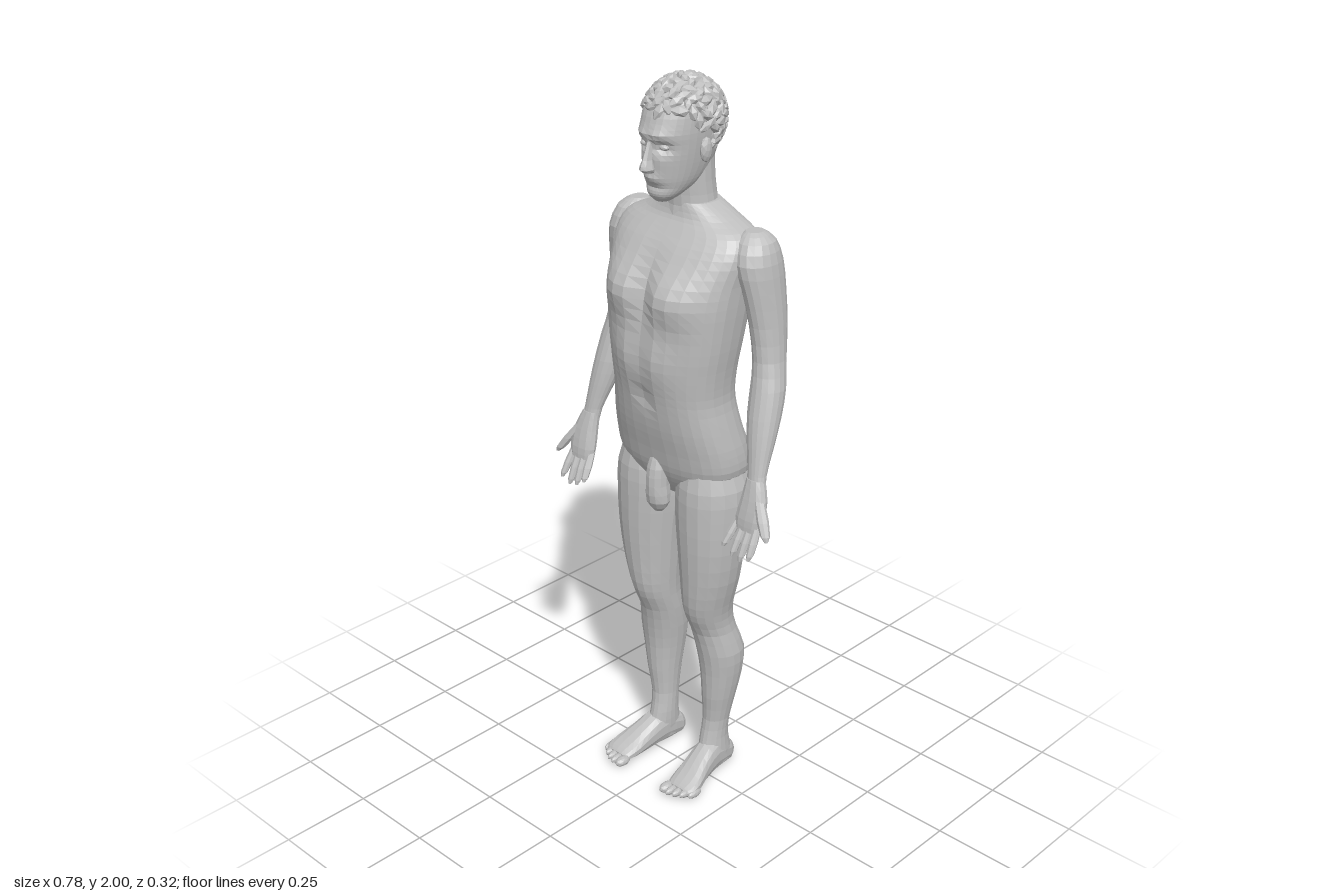
import * as THREE from 'three';
import { mergeGeometries } from 'three/addons/utils/BufferGeometryUtils.js';

const stone = new THREE.MeshStandardMaterial({ color: 0xbebebe });
stone.name = 'grey stone';

const bump = (d, w) => Math.exp(-(d * d) / (w * w));
const pow = (v, e) => Math.sign(v) * Math.abs(v) ** e;

// smooth curve through a list of rows, each row being one cross-section
function smoothRows(rows, steps) {
  const out = [];
  for (let i = 0; i < rows.length - 1; i++) {
    const p = [rows[Math.max(i - 1, 0)], rows[i], rows[i + 1], rows[Math.min(i + 2, rows.length - 1)]];
    for (let s = 0; s < steps; s++) {
      const t = s / steps;
      out.push(p[1].map((b, k) => {
        const [a, c, d] = [p[0][k], p[2][k], p[3][k]];
        return b + 0.5 * t * (c - a + t * (2 * a - 5 * b + 4 * c - d + t * (3 * (b - c) + d - a)));
      }));
    }
  }
  out.push(rows[rows.length - 1]);
  return out;
}

function faceted(geometry) {
  const g = geometry.index ? geometry.toNonIndexed() : geometry;
  g.deleteAttribute('uv');
  g.computeVertexNormals();
  return g;
}

// closed loft; a row is [height, centre x, half width, front z, back z]
function loft(rows, { sides = 18, steps = 2, square = 1, shape = null } = {}) {
  if (rows[0][0] > rows[rows.length - 1][0]) rows = [...rows].reverse();
  const rings = smoothRows(rows, steps), pos = [], idx = [];
  const add = (x, y, z) => {
    const v = new THREE.Vector3(x, y, z);
    if (shape) shape(v);
    pos.push(v.x, v.y, v.z);
  };
  for (const [y, cx, rx, zf, zb] of rings)
    for (let j = 0; j < sides; j++) {
      const a = (j / sides) * Math.PI * 2;
      add(cx + rx * pow(Math.sin(a), square), y, (zf + zb) / 2 + ((zf - zb) / 2) * pow(Math.cos(a), square));
    }
  const n = rings.length, bottom = n * sides;
  for (const r of [rings[0], rings[n - 1]]) add(r[1], r[0], (r[3] + r[4]) / 2);
  for (let j = 0; j < sides; j++) {
    const k = (j + 1) % sides, top = (n - 1) * sides;
    for (let i = 0; i < n - 1; i++) {
      const a = i * sides;
      idx.push(a + j, a + k, a + sides + j, a + k, a + sides + k, a + sides + j);
    }
    idx.push(bottom, k, j, bottom + 1, top + j, top + k);
  }
  const g = new THREE.BufferGeometry();
  g.setAttribute('position', new THREE.Float32BufferAttribute(pos, 3));
  g.setIndex(idx);
  return faceted(g);
}

function blob(x, y, z, rx, ry, rz, detail = 1) {
  return faceted(new THREE.IcosahedronGeometry(1, detail).scale(rx, ry, rz).translate(x, y, z));
}

// tapered finger between two points
function digit(s, [x0, y0, z0], [x1, y1, z1], r) {
  const rows = [[0, 0.9], [0.5, 1.05], [0.85, 0.85], [1, 0.35]].map(([t, k]) => {
    const z = z0 + (z1 - z0) * t;
    return [y0 + (y1 - y0) * t, s * (x0 + (x1 - x0) * t), r * k, z + r * k, z - r * k];
  });
  return loft(rows, { sides: 8, steps: 1 });
}

// chest, abdomen, spine and seat relief
function trunkRelief(v) {
  const ax = Math.abs(v.x), { y } = v;
  if (v.z > 0) {
    v.z += 0.028 * bump(ax - 0.085, 0.075) * bump(y - 1.465, 0.06);
    v.z -= 0.012 * bump(ax, 0.022) * bump(y - 1.46, 0.09);
    v.z += 0.012 * bump(ax - 0.05, 0.05) * bump(y - 1.29, 0.07);
    v.z -= 0.008 * bump(ax, 0.02) * bump(y - 1.19, 0.03);
  } else if (v.z < -0.04) {
    v.z -= 0.016 * bump(ax - 0.09, 0.06) * bump(y - 1.5, 0.1);
    v.z += 0.022 * bump(ax, 0.025) * bump(y - 1.36, 0.24);
    v.z -= 0.028 * bump(ax - 0.085, 0.06) * bump(y - 0.985, 0.07);
    v.z += 0.035 * bump(ax, 0.022) * bump(y - 0.96, 0.08);
  }
}

// eye sockets, brow, lips and chin relief
function faceRelief(v) {
  if (v.z < 0.03) return;
  const ax = Math.abs(v.x), { y } = v;
  v.z -= 0.016 * bump(ax - 0.033, 0.02) * bump(y - 1.835, 0.016);
  v.z += 0.008 * bump(ax - 0.025, 0.035) * bump(y - 1.865, 0.014);
  v.z += 0.008 * bump(ax, 0.025) * bump(y - 1.757, 0.013);
  v.z -= 0.006 * bump(ax, 0.04) * bump(y - 1.733, 0.009);
}

function hairGeometry() {
  let seed = 7;
  const rand = () => (seed = (seed * 16807) % 2147483647) / 2147483647;
  const curls = [], count = 230, up = new THREE.Vector3(0, 0, 1);
  for (let i = 0; i < count; i++) {
    const h = 1 - (2 * (i + 0.5)) / count, r = Math.sqrt(1 - h * h), a = i * 2.39996;
    const d = new THREE.Vector3(r * Math.sin(a), h, r * Math.cos(a));
    // hairline runs high over the brow and low at the nape
    const line = d.z > 0.35 ? 0.3 : d.z > -0.1 ? -0.1 : -0.85;
    if (d.y < line) continue;
    const size = 0.85 + 0.4 * rand();
    const curl = new THREE.IcosahedronGeometry(1, 0).scale(0.022 * size, 0.013 * size, 0.013);
    curl.rotateZ(rand() * Math.PI);
    curl.applyQuaternion(new THREE.Quaternion().setFromUnitVectors(up, d));
    curl.translate(d.x * 0.089, 1.886 + d.y * 0.101, -0.022 + d.z * 0.11);
    curls.push(faceted(curl));
  }
  curls.push(blob(0, 1.9, -0.024, 0.086, 0.088, 0.105, 2));
  return mergeGeometries(curls);
}

export function createModel() {
  const model = new THREE.Group();
  model.name = 'standing figure';
  const part = (name, ...geometries) => {
    const mesh = new THREE.Mesh(mergeGeometries(geometries), stone);
    mesh.name = name;
    model.add(mesh);
  };

  part('trunk', loft([
    [0.875, 0, 0.06, 0.02, -0.06], [0.92, 0, 0.15, 0.06, -0.11], [0.97, 0, 0.193, 0.085, -0.14],
    [1.03, 0, 0.196, 0.1, -0.135], [1.1, 0, 0.185, 0.117, -0.118], [1.18, 0, 0.172, 0.13, -0.105],
    [1.25, 0, 0.176, 0.137, -0.108], [1.33, 0, 0.188, 0.138, -0.12], [1.42, 0, 0.198, 0.132, -0.135],
    [1.5, 0, 0.205, 0.112, -0.142], [1.57, 0, 0.215, 0.075, -0.143], [1.615, 0, 0.2, 0.04, -0.138],
    [1.645, 0, 0.14, 0.018, -0.128], [1.68, 0, 0.075, 0.01, -0.112],
  ], { sides: 32, steps: 3, square: 0.82, shape: trunkRelief }));

  part('neck', loft([
    [1.61, 0, 0.085, 0.025, -0.12], [1.67, 0, 0.07, 0.014, -0.115],
    [1.73, 0, 0.064, 0.018, -0.108], [1.8, 0, 0.062, 0.02, -0.105],
  ]));

  part('head', loft([
    [1.693, 0, 0.018, 0.072, 0.03], [1.71, 0, 0.04, 0.087, 0], [1.74, 0, 0.058, 0.092, -0.06],
    [1.78, 0, 0.069, 0.098, -0.1], [1.83, 0, 0.077, 0.102, -0.12], [1.88, 0, 0.081, 0.1, -0.125],
    [1.93, 0, 0.078, 0.08, -0.12], [1.965, 0, 0.05, 0.04, -0.09], [1.975, 0, 0.015, 0, -0.05],
  ], { sides: 32, steps: 4, square: 0.92, shape: faceRelief }));
  part('nose', loft([
    [1.772, 0, 0.012, 0.112, 0.08], [1.782, 0, 0.018, 0.13, 0.08],
    [1.805, 0, 0.011, 0.122, 0.08], [1.85, 0, 0.008, 0.104, 0.08],
  ], { sides: 8 }));
  part('eyes', ...[1, -1].map((s) => blob(s * 0.032, 1.836, 0.079, 0.014, 0.008, 0.012)));
  part('ears', ...[1, -1].map((s) => blob(s * 0.084, 1.822, -0.012, 0.012, 0.032, 0.019)));
  part('hair', hairGeometry());

  // plain rounded form at the front of the hips
  part('groin', loft([
    [0.84, 0, 0.014, 0.085, 0.06], [0.87, 0, 0.034, 0.105, 0.045], [0.92, 0, 0.031, 0.11, 0.04],
    [0.97, 0, 0.03, 0.105, 0.04], [1.01, 0, 0.02, 0.09, 0.05],
  ], { sides: 12 }));

  for (const s of [1, -1]) {
    const side = s > 0 ? 'left' : 'right';
    const flip = (rows) => rows.map(([y, x, ...rest]) => [y, s * x, ...rest]);

    part(side + 'Arm', loft(flip([
      [1.632, 0.2, 0.022, -0.04, -0.09], [1.61, 0.208, 0.046, -0.01, -0.115],
      [1.56, 0.218, 0.053, 0.01, -0.13], [1.49, 0.233, 0.046, 0.0, -0.13],
      [1.4, 0.245, 0.043, -0.015, -0.125], [1.31, 0.257, 0.041, -0.018, -0.11],
      [1.24, 0.268, 0.046, -0.003, -0.095], [1.17, 0.276, 0.045, 0.016, -0.07],
      [1.1, 0.287, 0.037, 0.03, -0.035], [1.03, 0.298, 0.027, 0.042, 0.0], [0.98, 0.304, 0.03, 0.052, 0.015],
    ])));

    part(side + 'Hand',
      loft(flip([
        [1.02, 0.3, 0.025, 0.046, 0.008], [0.97, 0.308, 0.038, 0.062, 0.02],
        [0.92, 0.307, 0.043, 0.075, 0.035], [0.89, 0.305, 0.038, 0.078, 0.048],
      ]), { sides: 12, square: 0.8 }),
      ...[[0.272, 0.259, 0.84], [0.294, 0.288, 0.822], [0.316, 0.315, 0.816], [0.337, 0.345, 0.828]]
        .map(([x0, x1, y1]) => digit(s, [x0, 0.91, 0.058], [x1, y1, 0.102], 0.0115)),
      digit(s, [0.328, 0.975, 0.045], [0.384, 0.888, 0.08], 0.015));

    part(side + 'Leg', loft(flip([
      [1.01, 0.105, 0.07, 0.06, -0.1], [0.93, 0.108, 0.098, 0.078, -0.135], [0.85, 0.108, 0.1, 0.08, -0.123],
      [0.75, 0.11, 0.092, 0.077, -0.107], [0.65, 0.107, 0.08, 0.07, -0.1], [0.57, 0.1, 0.066, 0.062, -0.094],
      [0.52, 0.097, 0.06, 0.048, -0.094], [0.47, 0.098, 0.06, 0.025, -0.106], [0.4, 0.107, 0.064, 0.01, -0.128],
      [0.33, 0.109, 0.057, 0.0, -0.126], [0.25, 0.106, 0.046, -0.005, -0.11], [0.17, 0.1, 0.036, -0.012, -0.096],
      [0.11, 0.098, 0.035, -0.002, -0.092], [0.06, 0.1, 0.036, 0.008, -0.104], [0.02, 0.1, 0.032, 0, -0.108],
    ])));

    // foot rows run from heel to ball, with the sole at zero
    part(side + 'Foot',
      loft(flip([
        [-0.115, 0.096, 0.017, -0.01, -0.05], [-0.095, 0.097, 0.032, 0, -0.075], [-0.03, 0.102, 0.037, 0, -0.105],
        [0.03, 0.11, 0.041, 0, -0.08], [0.08, 0.12, 0.048, 0, -0.052], [0.115, 0.124, 0.046, 0, -0.036],
        [0.128, 0.122, 0.036, -0.004, -0.026],
      ]), { sides: 14, square: 0.85 }).rotateX(Math.PI / 2),
      ...[0, 1, 2, 3, 4].map((i) => blob(s * (0.09 + 0.019 * i - (i ? 0 : 0.002)), 0.014, 0.137 - 0.0025 * i * i + 0.002 * i,
        i ? 0.0105 : 0.016, i ? 0.012 : 0.014, 0.026)));
  }
  return model;
}
